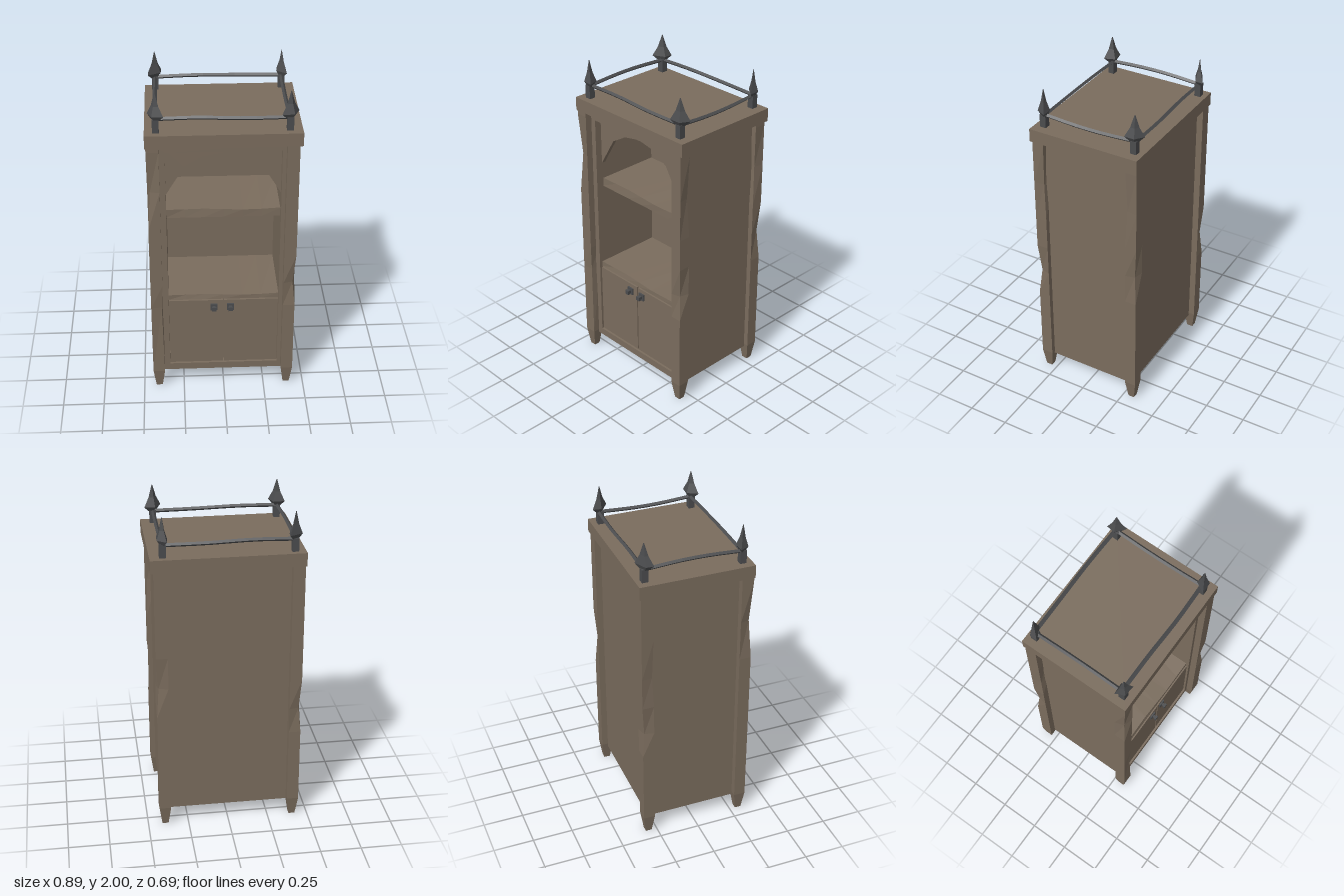
import * as THREE from 'three';

const wood = new THREE.MeshStandardMaterial({ color: 0x7a6c5d, flatShading: true });
const iron = new THREE.MeshStandardMaterial({ color: 0x4b4c4e, flatShading: true });

function add(parent, name, geometry, material, x = 0, y = 0, z = 0) {
  const mesh = new THREE.Mesh(geometry, material);
  mesh.name = name;
  mesh.position.set(x, y, z);
  parent.add(mesh);
  return mesh;
}

// Box given by its minimum and maximum corners
function box(parent, name, material, [x0, y0, z0], [x1, y1, z1]) {
  return add(parent, name, new THREE.BoxGeometry(x1 - x0, y1 - y0, z1 - z0), material,
    (x0 + x1) / 2, (y0 + y1) / 2, (z0 + z1) / 2);
}

// Four-sided solid from stacked rings of corners [x, y, z], counter-clockwise seen from above
function loft(rings) {
  const pos = [];
  const quad = (a, b, c, d) => pos.push(...a, ...b, ...c, ...a, ...c, ...d);
  for (let i = 0; i < rings.length - 1; i++) {
    for (let k = 0; k < 4; k++) {
      const n = (k + 1) % 4;
      quad(rings[i][k], rings[i][n], rings[i + 1][n], rings[i + 1][k]);
    }
  }
  quad(...[...rings[0]].reverse());
  quad(...rings[rings.length - 1]);
  const g = new THREE.BufferGeometry();
  g.setAttribute('position', new THREE.Float32BufferAttribute(pos, 3));
  g.computeVertexNormals();
  return g;
}

const corners = [[-1, 1], [1, 1], [1, -1], [-1, -1]];

// Corner post with a tapered foot; nicks list [height, corner, depth] of worn edges
function postGeometry(nicks) {
  const levels = [[0, 0.019], [0.02, 0.022], [0.12, 0.036], [0.6, 0.036], [0.76, 0.036],
    [0.95, 0.036], [1.15, 0.036], [1.4, 0.036], [1.66, 0.036], [1.69, 0.036]];
  return loft(levels.map(([y, h]) => corners.map(([cx, cz], k) => {
    const nick = nicks.find((n) => n[0] === y && n[1] === k);
    const r = h - (nick ? nick[2] : 0);
    return [cx * r, y, cz * r];
  })));
}

// Slightly warped shelf board
function shelf(parent, name, y0, y1, z1) {
  const g = new THREE.BoxGeometry(0.68, y1 - y0, z1 + 0.16, 6, 1, 1);
  const p = g.attributes.position;
  for (let i = 0; i < p.count; i++) {
    if (p.getZ(i) > 0 && p.getY(i) > 0 && Math.abs(p.getX(i)) < 0.3) {
      const s = Math.sin(p.getX(i) * 11);
      p.setY(i, p.getY(i) - 0.005 - 0.004 * s);
      p.setZ(i, p.getZ(i) - 0.004 + 0.004 * s);
    }
  }
  g.computeVertexNormals();
  add(parent, name, g, wood, 0, (y0 + y1) / 2, (z1 - 0.16) / 2);
}

function rectPath(path, x, y0, y1) {
  path.moveTo(-x, y0);
  path.lineTo(x, y0);
  path.lineTo(x, y1);
  path.lineTo(-x, y1);
  path.closePath();
  return path;
}

export function createModel() {
  const model = new THREE.Group();
  model.name = 'cabinet';

  // Carcass: hollow frame with a thick back
  const frame = rectPath(new THREE.Shape(), 0.4, 0.1, 1.69);
  frame.holes.push(rectPath(new THREE.Path(), 0.335, 0.145, 1.635));
  add(model, 'carcass', new THREE.ExtrudeGeometry(frame, { depth: 0.45, bevelEnabled: false }),
    wood, 0, 0, -0.15);
  box(model, 'back', wood, [-0.4, 0.1, -0.3], [0.4, 1.69, -0.15]);
  box(model, 'topSlab', wood, [-0.447, 1.685, -0.347], [0.447, 1.765, 0.347]);

  // Faceted arch across the top of the opening
  const arch = new THREE.Shape();
  const half = [[0.335, 1.34], [0.225, 1.522], [0.12, 1.585], [0, 1.608]];
  arch.moveTo(-0.335, 1.635);
  half.forEach(([x, y]) => arch.lineTo(-x, y));
  half.slice(0, 3).reverse().forEach(([x, y]) => arch.lineTo(x, y));
  arch.lineTo(0.335, 1.635);
  arch.closePath();
  add(model, 'arch', new THREE.ExtrudeGeometry(arch, { depth: 0.025, bevelEnabled: false }),
    wood, 0, 0, 0.232);

  // Shelves
  shelf(model, 'upperShelf', 1.18, 1.235, 0.25);
  shelf(model, 'lowerShelf', 0.615, 0.65, 0.28);

  // Doors and stepped knobs
  for (const [side, s] of [['left', 1], ['right', -1]]) {
    const edges = [s * 0.004, s * 0.333].sort((a, b) => a - b);
    box(model, side + 'Door', wood, [edges[0], 0.147, 0.255], [edges[1], 0.612, 0.288]);
    const knob = new THREE.Group();
    knob.name = side + 'Knob';
    knob.position.set(s * 0.05 - 0.008, 0.565, 0.288);
    add(knob, 'plate', new THREE.BoxGeometry(0.044, 0.044, 0.012), iron, 0, 0, 0.004);
    add(knob, 'stem', new THREE.BoxGeometry(0.018, 0.018, 0.02), iron, 0, 0, 0.016);
    add(knob, 'grip', new THREE.BoxGeometry(0.026, 0.026, 0.014), iron, 0, 0, 0.03);
    model.add(knob);
  }
  box(model, 'doorBacking', wood, [-0.334, 0.146, 0.24], [0.334, 0.615, 0.256]);

  // Corner posts with worn edges
  const posts = [
    ['frontRightPost', -0.405, 0.306, [[1.4, 0, 0.016], [0.6, 1, 0.008]]],
    ['frontLeftPost', 0.394, 0.306, [[0.76, 1, 0.016], [1.4, 2, 0.01]]],
    ['backLeftPost', 0.394, -0.303, [[0.95, 2, 0.014], [1.4, 1, 0.01]]],
    ['backRightPost', -0.405, -0.303, [[0.76, 3, 0.014], [1.15, 0, 0.008]]],
  ];
  for (const [name, x, z, nicks] of posts) add(model, name, postGeometry(nicks), wood, x, 0, z);

  // Iron finials: stem and a skewed spear head, with the head's widest corners per finial
  const finials = [
    ['frontRightFinial', -0.382, 0.29, [[-0.02, 0.026], [0.046, 0.032], [0.023, -0.032], [-0.046, -0.028]]],
    ['frontLeftFinial', 0.374, 0.29, [[-0.05, 0.03], [0.022, 0.028], [0.051, -0.03], [-0.014, -0.032]]],
    ['backLeftFinial', 0.372, -0.293, [[-0.03, 0.002], [0.03, 0.05], [0.03, -0.012], [-0.022, -0.051]]],
    ['backRightFinial', -0.384, -0.297, [[-0.042, 0.044], [0.034, 0.008], [0.038, -0.041], [-0.04, -0.003]]],
  ];
  const spear = [[1.838, 0.45], [1.868, 1], [1.925, 0.45], [2, 0.04]];
  for (const [name, x, z, base] of finials) {
    const finial = new THREE.Group();
    finial.name = name;
    finial.position.set(x, 0, z);
    add(finial, 'stem', new THREE.BoxGeometry(0.038, 0.085, 0.038), iron, 0, 1.802, 0);
    add(finial, 'head', loft(spear.map(([y, s]) => base.map(([a, b]) => [a * s, y, b * s]))), iron);
    model.add(finial);
  }

  // Hand-forged gallery rails, each a bent four-sided bar
  const rails = [
    ['frontRail', [[-0.38, 1.84, 0.282], [-0.15, 1.845, 0.283], [0.12, 1.838, 0.289], [0.374, 1.838, 0.284]]],
    ['backRail', [[-0.38, 1.838, -0.3], [-0.15, 1.845, -0.301], [0.12, 1.84, -0.306], [0.374, 1.838, -0.3]]],
    ['rightRail', [[-0.384, 1.838, 0.29], [-0.384, 1.85, 0.08], [-0.384, 1.85, -0.08], [-0.384, 1.838, -0.29]]],
    ['leftRail', [[0.372, 1.838, 0.29], [0.372, 1.826, 0.08], [0.372, 1.826, -0.08], [0.372, 1.838, -0.29]]],
  ];
  for (const [name, points] of rails) {
    const curve = new THREE.CatmullRomCurve3(points.map((p) => new THREE.Vector3(...p)));
    add(model, name, new THREE.TubeGeometry(curve, 8, 0.012, 4), iron);
  }

  return model;
}
